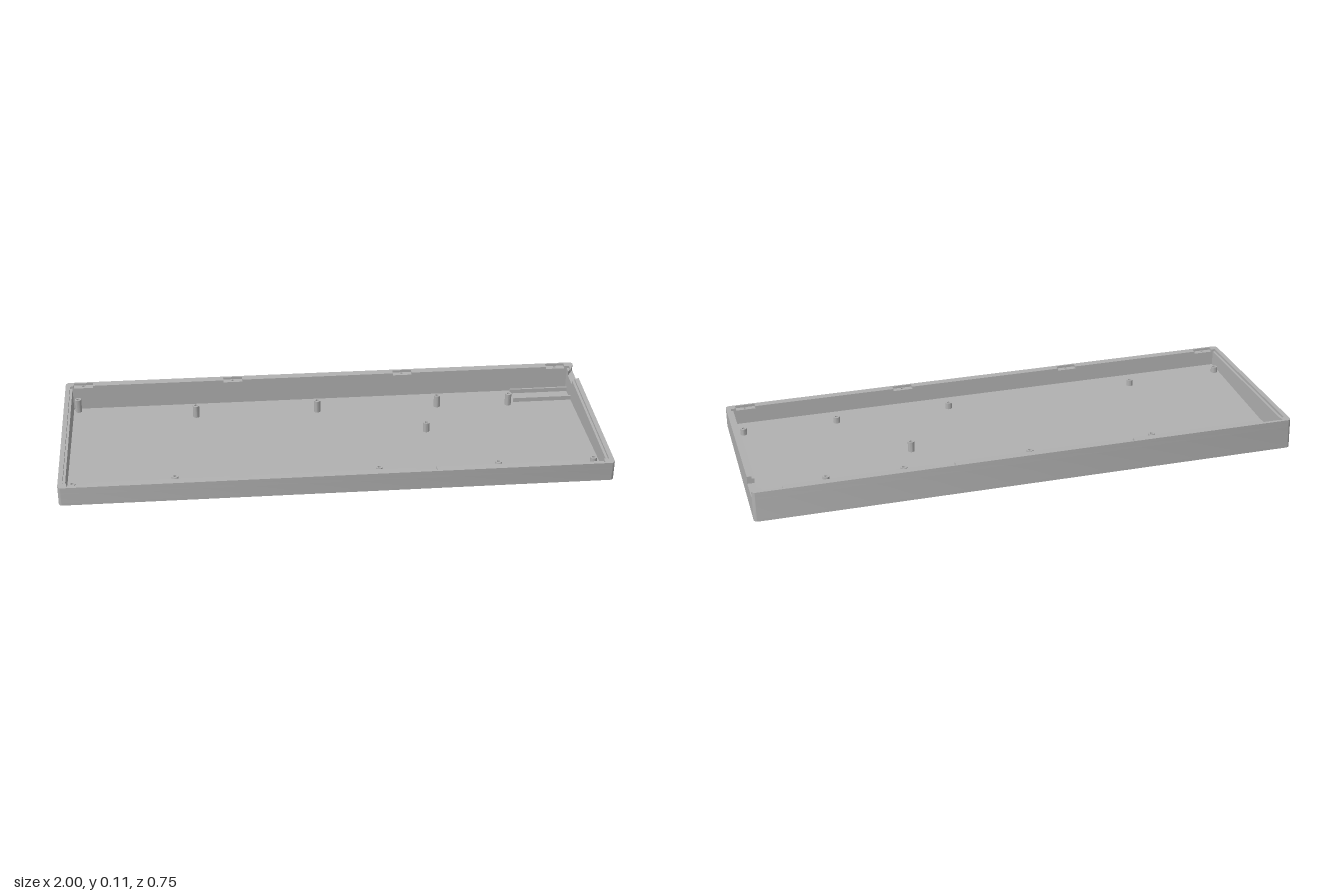
import * as THREE from 'three';
import { toCreasedNormals } from 'three/addons/utils/BufferGeometryUtils.js';

const TILT = Math.atan(0.0526), C = Math.cos(TILT), S = Math.sin(TILT);
const HX = 1, HP = 0.3715, INNER = 0.3415, R = 0.015;
const FLOOR = 0.01;
const TABS = [-0.932, -0.352, 0.315, 0.927];
const PORT = [0.243, 0.313];

// Heights: a depth below the sloping top plane, or a level above the ground
const depth = (d) => () => d;
const level = (y) => (topY) => (topY - y) / C;

// Extrude a plan shape (x, -z) along the sloping plane's normal between two heights
function slab(shape, lower, upper) {
  const geo = new THREE.ExtrudeGeometry(shape, { depth: 1, bevelEnabled: false, curveSegments: 8 });
  const pos = geo.attributes.position;
  for (let i = 0; i < pos.count; i++) {
    const p = pos.getY(i);
    const topY = 0.0925 + p * S;
    const d = THREE.MathUtils.lerp(lower(topY), upper(topY), pos.getZ(i));
    pos.setXYZ(i, pos.getX(i), topY - d * C, 0.003 - p * C - d * S);
  }
  return toCreasedNormals(geo, 0.6);
}

// Outer rounded rectangle, starting and ending at the port on the +x side
function outline() {
  const s = new THREE.Shape();
  s.moveTo(HX, PORT[1]);
  s.absarc(HX - R, HP - R, R, 0, Math.PI / 2);
  s.absarc(-HX + R, HP - R, R, Math.PI / 2, Math.PI);
  s.absarc(-HX + R, -HP + R, R, Math.PI, Math.PI * 1.5);
  s.absarc(HX - R, -HP + R, R, Math.PI * 1.5, Math.PI * 2);
  s.lineTo(HX, PORT[0]);
  return s;
}

function circle(x, p, r) {
  const h = new THREE.Path();
  h.absarc(x, p, r, 0, Math.PI * 2, true);
  return h;
}

function addScrewHoles(shape, r) {
  for (const x of TABS) for (const side of [-1, 1]) shape.holes.push(circle(x, side * 0.356, r));
  return shape;
}

// Wall ring left open at the port, optionally with screw tab recesses
function openRing(xi, recessed) {
  const s = outline();
  const w = 0.037, q = 0.364;
  const recess = (x, side) => {
    const a = x - side * w, b = x + side * w;
    s.lineTo(a, side * INNER);
    s.lineTo(a, side * q);
    s.lineTo(b, side * q);
    s.lineTo(b, side * INNER);
  };
  s.lineTo(xi, PORT[0]);
  s.lineTo(xi, -INNER);
  if (recessed) [...TABS].reverse().forEach((x) => recess(x, -1));
  s.lineTo(-xi, -INNER);
  s.lineTo(-xi, INNER);
  if (recessed) TABS.forEach((x) => recess(x, 1));
  s.lineTo(xi, INNER);
  s.lineTo(xi, PORT[1]);
  s.closePath();
  return s;
}

function rectPath(path, x0, p0, x1, p1) {
  path.moveTo(x0, p0);
  path.lineTo(x1, p0);
  path.lineTo(x1, p1);
  path.lineTo(x0, p1);
  path.closePath();
  return path;
}

export function createModel() {
  const group = new THREE.Group();
  group.name = 'keyboardCaseTray';
  const grey = new THREE.MeshStandardMaterial({ color: 0xb0b0b0 });
  grey.name = 'grey plastic';
  const add = (name, geo) => {
    const mesh = new THREE.Mesh(geo, grey);
    mesh.name = name;
    group.add(mesh);
  };

  // Floor plate with wide screw openings underneath
  add('floor', slab(addScrewHoles(outline(), 0.009), level(0), level(FLOOR)));

  // Closed lower walls
  const lowerWall = addScrewHoles(outline(), 0.005);
  lowerWall.holes.push(rectPath(new THREE.Path(), -0.974, -INNER, 0.974, INNER));
  add('lowerWall', slab(lowerWall, level(FLOOR), depth(0.027)));

  // Upper walls, open at the cable port
  add('upperWall', slab(addScrewHoles(openRing(0.974, false), 0.005), depth(0.027), depth(0.009)));
  add('rim', slab(openRing(0.983, true), depth(0.009), depth(0)));

  // Hollow mounting posts, as x, z
  const posts = [
    [-0.955, -0.32], [-0.5, -0.237], [-0.03, -0.237], [0.44, -0.237], [0.72, -0.227], [0.37, -0.04],
    [-0.955, 0.275], [-0.587, 0.255], [0.155, 0.255], [0.595, 0.255], [0.95, 0.255],
  ];
  for (const [x, z] of posts) {
    const ring = new THREE.Shape();
    ring.absarc(x, -z, 0.0125, 0, Math.PI * 2);
    ring.holes.push(circle(x, -z, 0.006));
    add('mountingPost', slab(ring, level(FLOOR), depth(0.046)));
  }

  // Guide rails beside the port
  for (const p of [0.246, 0.32]) {
    add('guideRail', slab(rectPath(new THREE.Shape(), 0.745, p - 0.004, 0.974, p + 0.004), level(FLOOR), level(0.027)));
  }
  return group;
}
